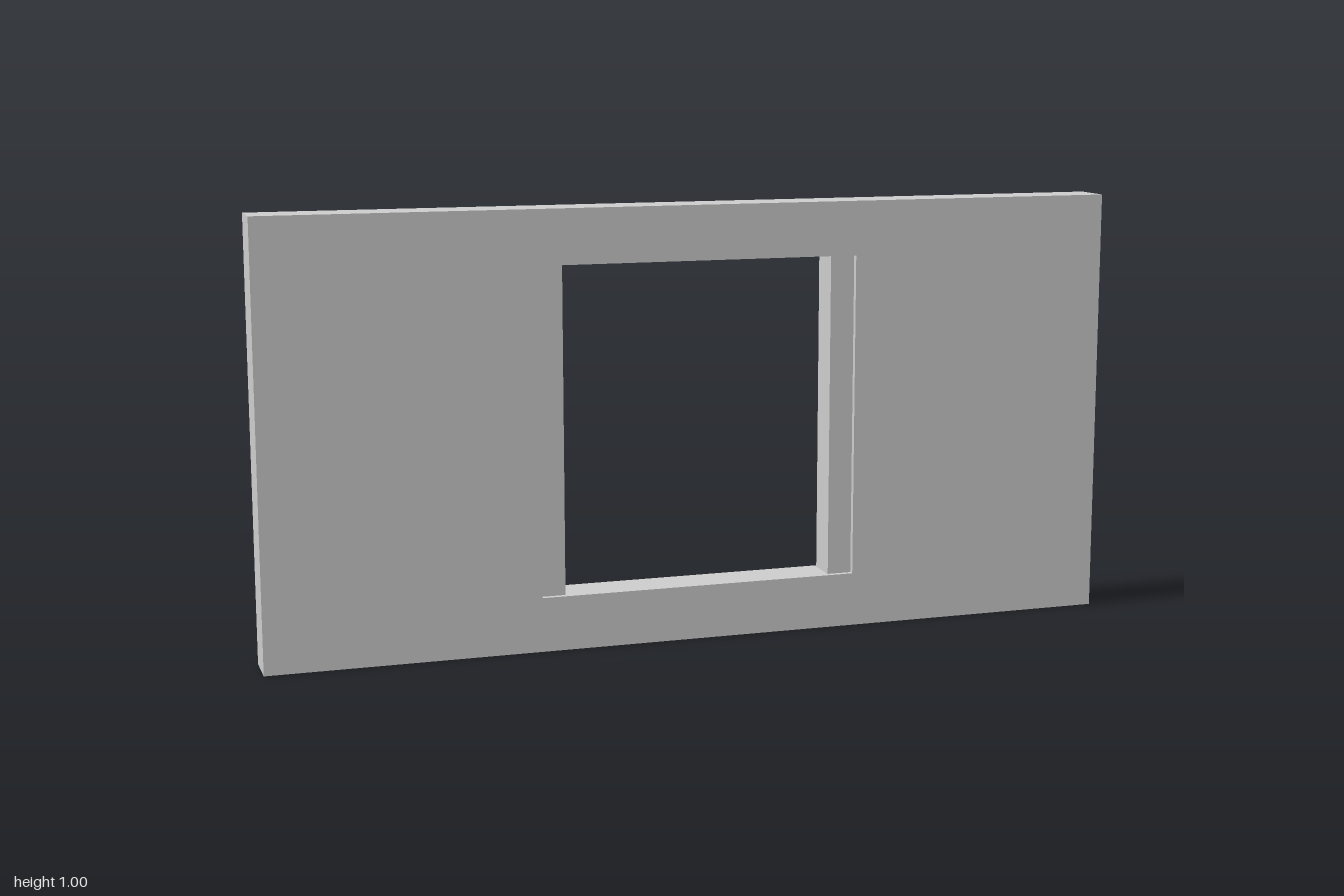
import * as THREE from 'three';

export function createModel() {
  const group = new THREE.Group();
  const material = new THREE.MeshStandardMaterial({ color: 0xcccccc, flatShading: true });

  const thickness = 0.1;
  const openHalf = 0.375, openBottom = 0.125, openTop = 0.875;

  // Wall panel with a square opening
  const outline = new THREE.Shape();
  outline.moveTo(-1, 0).lineTo(1, 0).lineTo(1, 1).lineTo(-1, 1).closePath();
  const opening = new THREE.Path();
  opening.moveTo(-openHalf, openBottom).lineTo(-openHalf, openTop)
    .lineTo(openHalf, openTop).lineTo(openHalf, openBottom).closePath();
  outline.holes.push(opening);
  const wallGeometry = new THREE.ExtrudeGeometry(outline, { depth: thickness, bevelEnabled: false });
  wallGeometry.translate(0, 0, -thickness / 2);
  const wall = new THREE.Mesh(wallGeometry, material);
  wall.name = 'wall';
  group.add(wall);

  // Upright jambs, slightly recessed from both wall faces
  const jambWidth = 0.057, jambDepth = 0.075;
  for (const [side, name] of [[1, 'leftJamb'], [-1, 'rightJamb']]) {
    const jamb = new THREE.Mesh(
      new THREE.BoxGeometry(jambWidth, openTop - openBottom, jambDepth), material);
    jamb.position.set(side * (openHalf - jambWidth / 2), (openTop + openBottom) / 2, 0);
    jamb.name = name;
    group.add(jamb);
  }

  return group;
}
